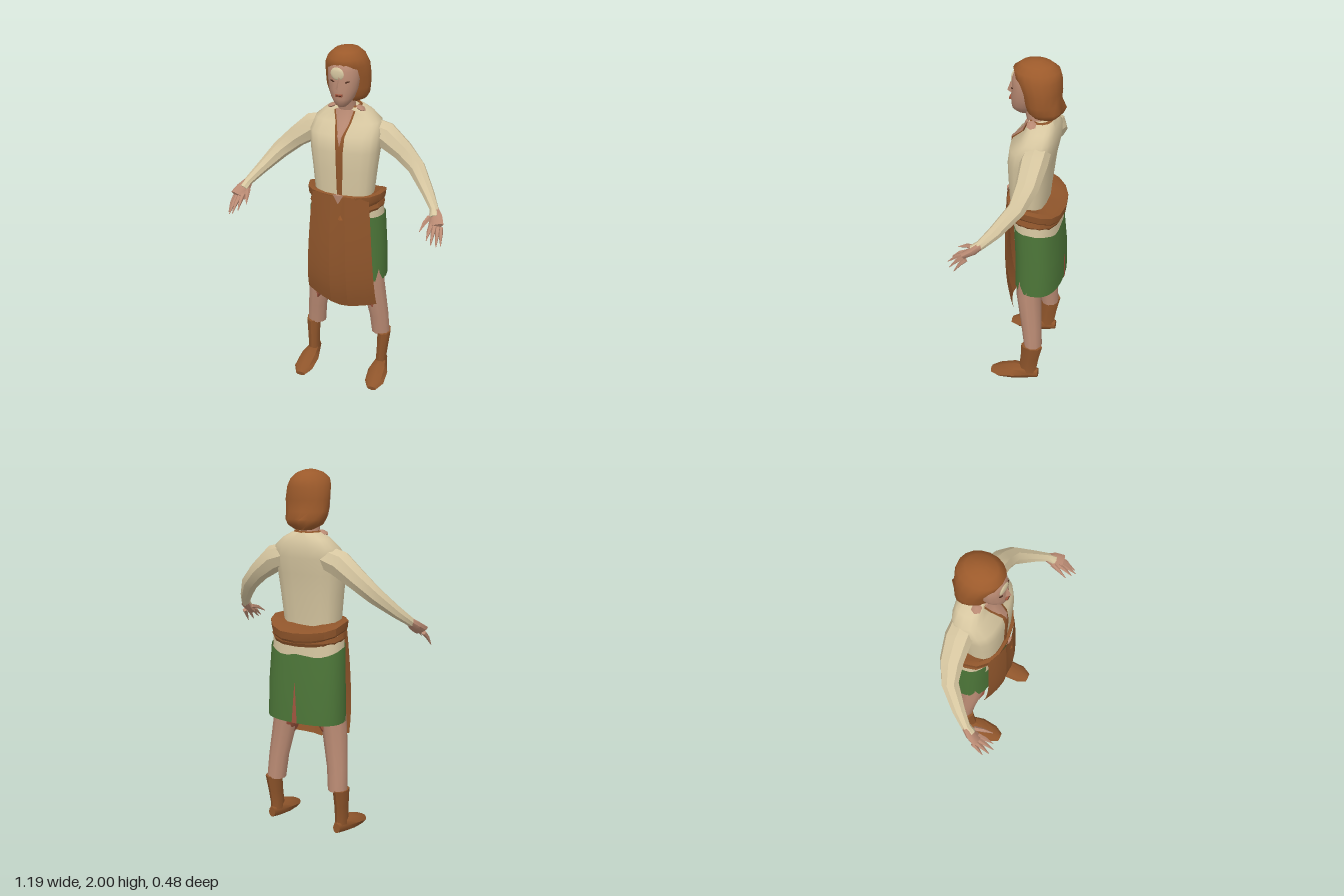
import * as THREE from 'three';
import { toCreasedNormals } from 'three/addons/utils/BufferGeometryUtils.js';

const mat = (name, color, open) => {
  const m = new THREE.MeshStandardMaterial({ color });
  m.name = name;
  if (open) m.side = THREE.DoubleSide;
  return m;
};

// Skin of elliptical rings [x, y, z, halfWidth, halfDepth].
// flat: rings stay horizontal; ref: direction of the depth axis; p: below 1 is boxier.
function loft(rings, { n = 10, flat = false, ref = [0, 0, 1], p = 1, caps = true, side = 1 } = {}) {
  const centres = rings.map(r => new THREE.Vector3(r[0] * side, r[1], r[2]));
  const pos = [], index = [], last = rings.length - 1;
  const pw = c => Math.sign(c) * Math.abs(c) ** p;
  rings.forEach((r, k) => {
    const t = flat ? new THREE.Vector3(0, 1, 0)
      : centres[Math.min(k + 1, last)].clone().sub(centres[Math.max(k - 1, 0)]).normalize();
    const v = new THREE.Vector3(...ref);
    v.addScaledVector(t, -v.dot(t)).normalize();
    const u = t.clone().cross(v);
    for (let i = 0; i < n; i++) {
      const a = i / n * Math.PI * 2;
      const q = centres[k].clone().addScaledVector(u, r[3] * pw(Math.cos(a))).addScaledVector(v, r[4] * pw(Math.sin(a)));
      pos.push(q.x, q.y, q.z);
      if (k < last) {
        const A = k * n + i, B = k * n + (i + 1) % n;
        index.push(A, A + n, B, B, A + n, B + n);
      }
    }
  });
  if (caps) {
    const s = pos.length / 3;
    pos.push(...centres[0].toArray(), ...centres[last].toArray());
    for (let i = 0; i < n; i++) {
      const j = (i + 1) % n;
      index.push(s, i, j, s + 1, last * n + j, last * n + i);
    }
  }
  const g = new THREE.BufferGeometry();
  g.setAttribute('position', new THREE.Float32BufferAttribute(pos, 3));
  g.setIndex(index);
  return g;
}

// Move every vertex by a rule
function bend(g, rule) {
  const a = g.attributes.position, v = new THREE.Vector3();
  for (let i = 0; i < a.count; i++) {
    rule(v.fromBufferAttribute(a, i));
    a.setXYZ(i, v.x, v.y, v.z);
  }
  return g;
}

export function createModel() {
  const model = new THREE.Group();
  const skin = mat('skin', 0xb98a73), cream = mat('cream cloth', 0xd6c6a0);
  const hairBrown = mat('hair brown', 0x9c5a2b), leather = mat('leather', 0x8f552b, true);
  const green = mat('green cloth', 0x4c7538, true), red = mat('red lining', 0xa0553e);
  const dark = mat('dark brown', 0x4a2a1c);

  const add = (name, geo, material, crease = 0.8) => {
    const g = toCreasedNormals(geo, crease);
    g.computeBoundingSphere();
    const m = new THREE.Mesh(g, material);
    m.name = name;
    model.add(m);
  };

  // Head and neck
  add('neck', loft([[0, 1.58, -.09, .06, .05], [0, 1.68, -.07, .05, .05], [0, 1.76, -.05, .045, .05]], { flat: true }), skin);
  add('face', loft([
    [0, 1.705, 0, .022, .03], [0, 1.725, 0, .042, .056], [0, 1.755, -.01, .062, .07], [0, 1.8, -.02, .077, .082],
    [0, 1.85, -.025, .084, .08], [0, 1.9, -.03, .084, .085], [0, 1.945, -.04, .07, .075],
  ], { n: 16, flat: true }), skin, 1.2);
  add('nose', new THREE.ConeGeometry(.018, .065, 4).scale(1, 1, 1.3).translate(0, 1.845, .06), skin);
  add('lips', new THREE.BoxGeometry(.034, .012, .016).translate(0, 1.778, .061), red);
  add('mouth', new THREE.BoxGeometry(.026, .004, .008).translate(0, 1.778, .067), dark);
  for (const s of [-1, 1]) {
    const eye = new THREE.SphereGeometry(1, 8, 6).scale(.014, .004, .005).rotateZ(s * .25).rotateY(s * .45);
    add('eye', eye.translate(s * .04, 1.848, .046), dark);
  }
  add('foreheadPatch', new THREE.SphereGeometry(1, 12, 8).scale(.038, .034, .008).rotateY(-.15).translate(-.013, 1.888, .05), cream);

  // Bobbed hair, cut back to frame the face, flicked out at the nape
  const hair = loft([
    [0, 1.695, -.135, .05, .045], [0, 1.72, -.115, .092, .085], [0, 1.75, -.113, .112, .1], [0, 1.79, -.102, .118, .094],
    [0, 1.85, -.097, .12, .104], [0, 1.915, -.08, .115, .118], [0, 1.955, -.07, .097, .118],
    [0, 1.985, -.07, .065, .08], [0, 2, -.07, .022, .028],
  ], { n: 18, flat: true });
  add('hair', bend(hair, v => { if (v.y < 1.77) v.z += .01 * Math.sin(v.x * 70); }), hairBrown, 1.2);

  // Shirt body
  add('shirt', loft([
    [0, 1.14, -.045, .155, .095], [0, 1.22, -.045, .163, .1], [0, 1.35, -.05, .175, .11], [0, 1.46, -.055, .188, .117],
    [0, 1.55, -.07, .195, .12], [0, 1.605, -.1, .18, .09], [0, 1.65, -.105, .13, .075], [0, 1.68, -.1, .075, .062],
  ], { n: 18, flat: true, p: .7 }), cream, 1);
  // Front lacing, open neck and collar
  add('lacing', loft([
    [0, 1.2, .055, .014, .006], [0, 1.35, .06, .018, .006], [0, 1.46, .063, .02, .006],
    [0, 1.55, .051, .026, .006], [0, 1.61, -.009, .044, .008], [0, 1.665, -.034, .058, .008],
  ], { n: 6, flat: true }), leather);
  add('openNeck', loft([
    [0, 1.5, .06, .003, .005], [0, 1.55, .054, .015, .007], [0, 1.61, -.005, .034, .009], [0, 1.67, -.032, .05, .012],
  ], { n: 6, flat: true }), skin);
  add('collar', new THREE.TorusGeometry(.067, .01, 5, 16).rotateX(Math.PI / 2).scale(1, 1, .85).translate(0, 1.678, -.098), leather);

  for (const side of [-1, 1]) {
    add('collarFlap', new THREE.SphereGeometry(1, 6, 4).scale(.03, .01, .028).rotateZ(side * -.4).translate(side * .078, 1.676, -.065), skin);
    // Sleeve, running over the wrist
    add('sleeve', loft([
      [.12, 1.55, -.11, .065, .068], [.2, 1.525, -.11, .074, .072], [.3, 1.45, -.103, .058, .062],
      [.388, 1.372, -.075, .049, .046], [.475, 1.278, .01, .032, .036], [.525, 1.222, .072, .024, .025], [.537, 1.195, .11, .026, .024],
    ], { n: 8, side }), cream, .6);
    // Hand with tapering fingers
    add('hand', loft([[.52, 1.23, .06, .02, .02], [.542, 1.192, .105, .038, .022], [.555, 1.165, .15, .044, .018]], { n: 8, side }), skin);
    const fingers = [
      [.51, 1.19, .11, .483, 1.15, .205], [.53, 1.17, .14, .525, 1.115, .225], [.547, 1.165, .145, .552, 1.1, .24],
      [.565, 1.16, .145, .577, 1.085, .225], [.578, 1.155, .135, .595, 1.08, .195],
    ];
    for (const [x, y, z, X, Y, Z] of fingers) {
      add('finger', loft([
        [x, y, z, .014, .013], [(x + X) / 2, (y + Y) / 2 + .008, (z + Z) / 2, .011, .01], [X, Y, Z, .002, .002],
      ], { n: 5, side }), skin);
    }
    // Leg and ragged lining on the inner thigh
    add('leg', loft([
      [.2, .27, -.115, .055, .052], [.19, .4, -.103, .057, .057], [.157, .62, -.078, .07, .07], [.11, .95, -.09, .09, .09],
    ], { flat: true, side }), skin);
    add('thighLining', loft([
      [.168, .475, -.05, .008, .018], [.145, .55, -.06, .04, .052], [.11, .62, -.075, .04, .066], [.09, .9, -.09, .06, .08],
    ], { n: 8, flat: true, side }), red);
    // Boot
    add('bootShaft', loft([
      [.213, .05, -.09, .034, .055], [.213, .1, -.09, .031, .052], [.217, .18, -.1, .034, .054], [.221, .278, -.113, .04, .062],
    ], { n: 8, flat: true, side }), leather);
    add('bootFoot', loft([
      [.213, .055, -.15, .022, .03], [.213, .055, -.09, .036, .045], [.217, .05, -.01, .058, .046],
      [.222, .032, .08, .056, .03], [.222, .022, .132, .028, .014],
    ], { n: 8, ref: [0, 1, 0], side }), leather);
  }

  // Skirt, lower at the back, with the shirt tail showing above its wavy top edge
  const skirt = loft([[0, .66, -.108, .226, .133], [0, .85, -.106, .223, .13], [0, 1.08, -.093, .213, .126]],
    { n: 28, flat: true, p: .82, caps: false });
  add('skirt', bend(skirt, v => {
    if (v.y > 1) v.y += .4 * Math.min(0, v.z + .1) + .008 * Math.sin(v.x * 28 + v.z * 20);
  }), green, 1);
  add('shirtTail', loft([[0, .98, -.093, .211, .123], [0, 1.15, -.085, .2, .125]], { n: 28, flat: true, p: .82 }), cream);
  // Narrow slit up the back of the skirt
  const slit = new THREE.BufferGeometry().setFromPoints([
    new THREE.Vector3(.016, .66, -.2435), new THREE.Vector3(-.016, .66, -.2435), new THREE.Vector3(0, .9, -.2375),
  ]);
  slit.setIndex([0, 1, 2]);
  add('skirtSlit', slit, red);

  // Wrapped belt: lower wrap and flared upper roll, sagging at the back
  const sag = amount => v => { v.y += amount * Math.min(0, v.z + .1) + .005 * Math.sin(v.x * 40); };
  add('beltWrap', bend(loft([[0, 1.105, -.085, .2, .135], [0, 1.125, -.085, .212, .144], [0, 1.17, -.085, .2, .14]],
    { n: 16, flat: true, p: .9, caps: false }), sag(.2)), leather, .5);
  add('beltRoll', bend(loft([
    [0, 1.145, -.08, .195, .145], [0, 1.17, -.082, .215, .155], [0, 1.212, -.082, .22, .158],
    [0, 1.217, -.075, .195, .138], [0, 1.2, -.05, .145, .088],
  ], { n: 16, flat: true, p: .9, caps: false }), sag(.4)), leather, .5);

  // Long apron with a centre crease and a slanted, slightly curled hem
  add('apron', bend(new THREE.PlaneGeometry(2, 1, 8, 10), v => {
    const u = v.x, t = .5 - v.y;
    v.x = u * (.158 + .047 * t ** .8) - .003;
    v.y = 1.212 - t * (.71 - (u < 0 ? -.065 : .02) * u);
    v.z = .083 + .012 * Math.sin(t * 3) - .052 * u * u - .035 * t ** 6 - (u === 0 ? .008 : 0);
  }), leather, .25);
  // Small knot at the apron's top and a toggle below it
  add('apronKnot', new THREE.ConeGeometry(.03, .055, 4).rotateX(Math.PI).scale(1, 1, .25).translate(0, 1.197, .083), skin);
  add('apronToggle', new THREE.ConeGeometry(.014, .03, 4).scale(1, 1, .5).translate(.015, 1.095, .089), hairBrown);

  return model;
}
